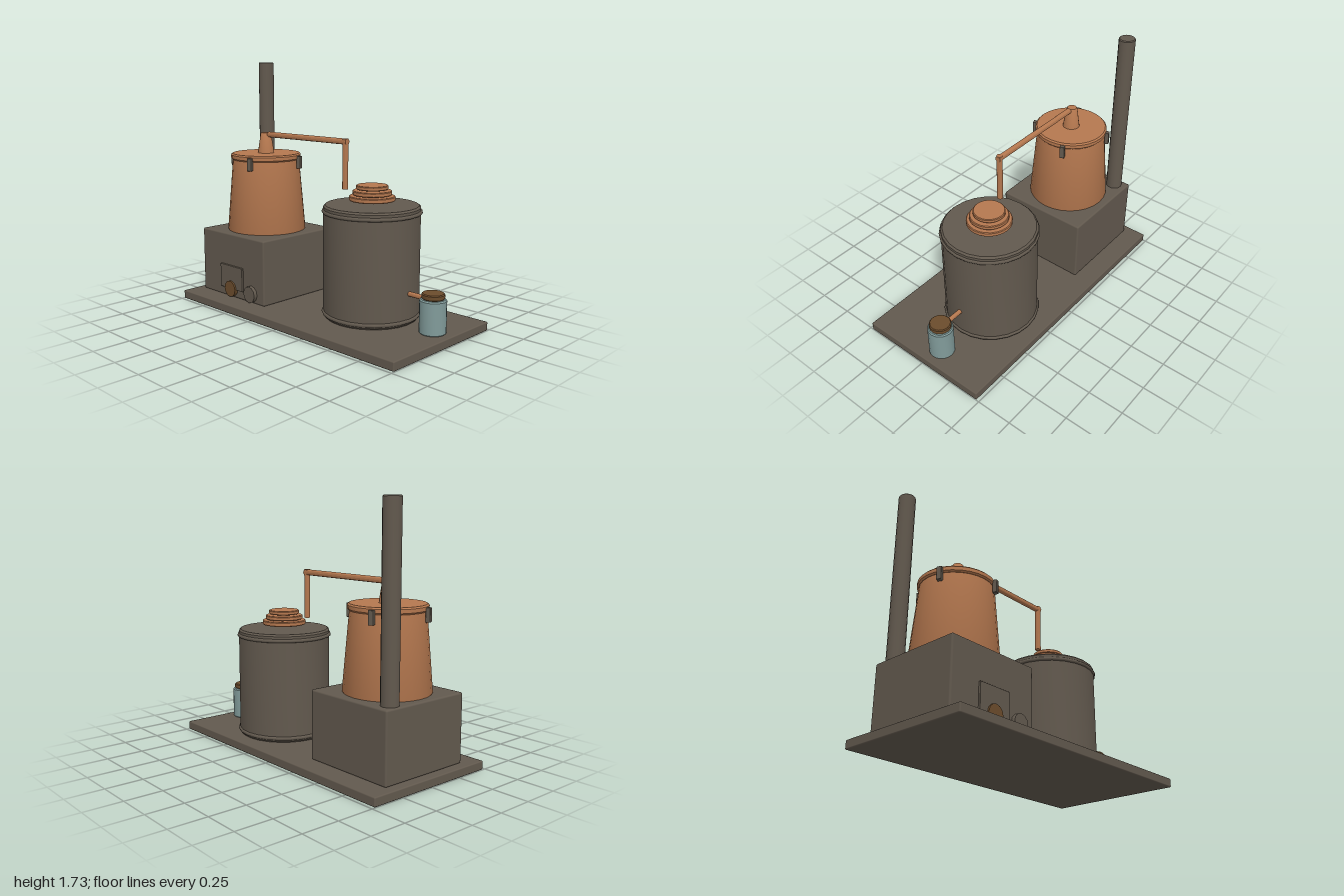
import * as THREE from 'three';
import { RoundedBoxGeometry } from 'three/addons/geometries/RoundedBoxGeometry.js';
import { toCreasedNormals } from 'three/addons/utils/BufferGeometryUtils.js';

const mat = (name, color) => {
  const m = new THREE.MeshStandardMaterial({ color });
  m.name = name;
  return m;
};

export function createModel() {
  const iron = mat('dark iron', 0x62594e);
  const copper = mat('copper', 0xb5784f);
  const glass = mat('pale glass', 0x819b9a);
  const brown = mat('rusty brown', 0x6b4c2c);

  const root = new THREE.Group();
  const add = (name, geo, material, x, y, z) => {
    const mesh = new THREE.Mesh(geo, material);
    mesh.name = name;
    mesh.position.set(x, y, z);
    root.add(mesh);
    return mesh;
  };
  const box = (name, m, x, y, z, w, h, d, r = 0.008) =>
    add(name, new RoundedBoxGeometry(w, h, d, 2, r), m, x, y, z);
  // Closed turned solid from [radius, height] pairs, with crisp rims
  const turned = (name, m, x, z, pts, sides = 24) => {
    const geo = new THREE.LatheGeometry(pts.map(p => new THREE.Vector2(...p)), sides);
    return add(name, toCreasedNormals(geo, 0.6), m, x, 0, z);
  };
  const drum = (r, y0, y1, b = 0.006) =>
    [[0, y0], [r - b, y0], [r, y0 + b], [r, y1 - b], [r - b, y1], [0, y1]];

  // Base plate and firebox
  box('basePlate', iron, 0, 0.03, 0, 2, 0.06, 0.96);
  box('firebox', iron, -0.605, 0.29, 0, 0.67, 0.46, 0.67, 0.012);
  box('fireboxDoor', iron, -0.607, 0.207, 0.338, 0.24, 0.17, 0.022, 0.004);
  [[-0.61, brown], [-0.4, iron]].forEach(([x, m]) => {
    const geo = new THREE.CylinderGeometry(0.058, 0.058, 0.03, 12);
    add('fireboxKnob', toCreasedNormals(geo, 0.6), m, x, 0.125, 0.346).rotation.x = Math.PI / 2;
  });
  turned('chimney', iron, -0.87, -0.24, drum(0.057, 0.5, 1.725), 14);

  // Boiling pot with lid and cap
  const px = -0.61;
  turned('pot', copper, px, 0, [[0, 0.515], [0.28, 0.515], [0.284, 0.525], [0.24, 1.04], [0, 1.04]], 28);
  turned('potLid', copper, px, 0, drum(0.253, 1.032, 1.076, 0.01), 28);
  turned('potCap', copper, px, 0, [[0, 1.07], [0.06, 1.07], [0.038, 1.215], [0.033, 1.222], [0, 1.222]], 16);

  // Four clamps around the lid
  for (let i = 0; i < 4; i++) {
    const a = 0.4 + i * Math.PI / 2;
    const clamp = box('lidClamp', iron, px + Math.cos(a) * 0.262, 1.017, -Math.sin(a) * 0.262,
      0.03, 0.09, 0.034, 0.004);
    clamp.rotation.y = a;
  }

  // Vapour pipe running across and down
  const pipe = (name, r, len, x, y, z, across) => {
    const geo = toCreasedNormals(new THREE.CylinderGeometry(r, r, len, 12), 0.6);
    add(name, geo, copper, x, y, z).rotation.z = across ? Math.PI / 2 : 0;
  };
  pipe('vapourArm', 0.02, 0.77, -0.19, 1.21, 0, true);
  pipe('vapourDrop', 0.02, 0.335, 0.177, 1.0625, 0, false);

  // Condenser barrel with hoops and stacked copper discs
  const bx = 0.36, bz = -0.062;
  turned('barrel', iron, bx, bz, drum(0.32, 0.06, 0.808, 0.012), 24);
  [0.09, 0.766].forEach(y => {
    add('barrelHoop', new THREE.TorusGeometry(0.318, 0.0135, 8, 24), iron, bx, y, bz).rotation.x = Math.PI / 2;
  });
  [[0.152, 0.835, 0.866], [0.13, 0.872, 0.901], [0.106, 0.909, 0.936]].forEach(([r, y0, y1]) => {
    turned('condenserDisc', copper, bx, bz, drum(r, y0, y1, 0.005), 24);
  });

  // Outlet and collecting jar
  pipe('outletPipe', 0.016, 0.14, 0.735, 0.27, bz, true);
  turned('jar', glass, 0.866, bz,
    [[0, 0.06], [0.08, 0.06], [0.086, 0.066], [0.086, 0.272], [0.078, 0.28], [0, 0.28]], 20);
  turned('jarLid', brown, 0.866, bz, drum(0.073, 0.28, 0.316, 0.006), 20);

  return root;
}
